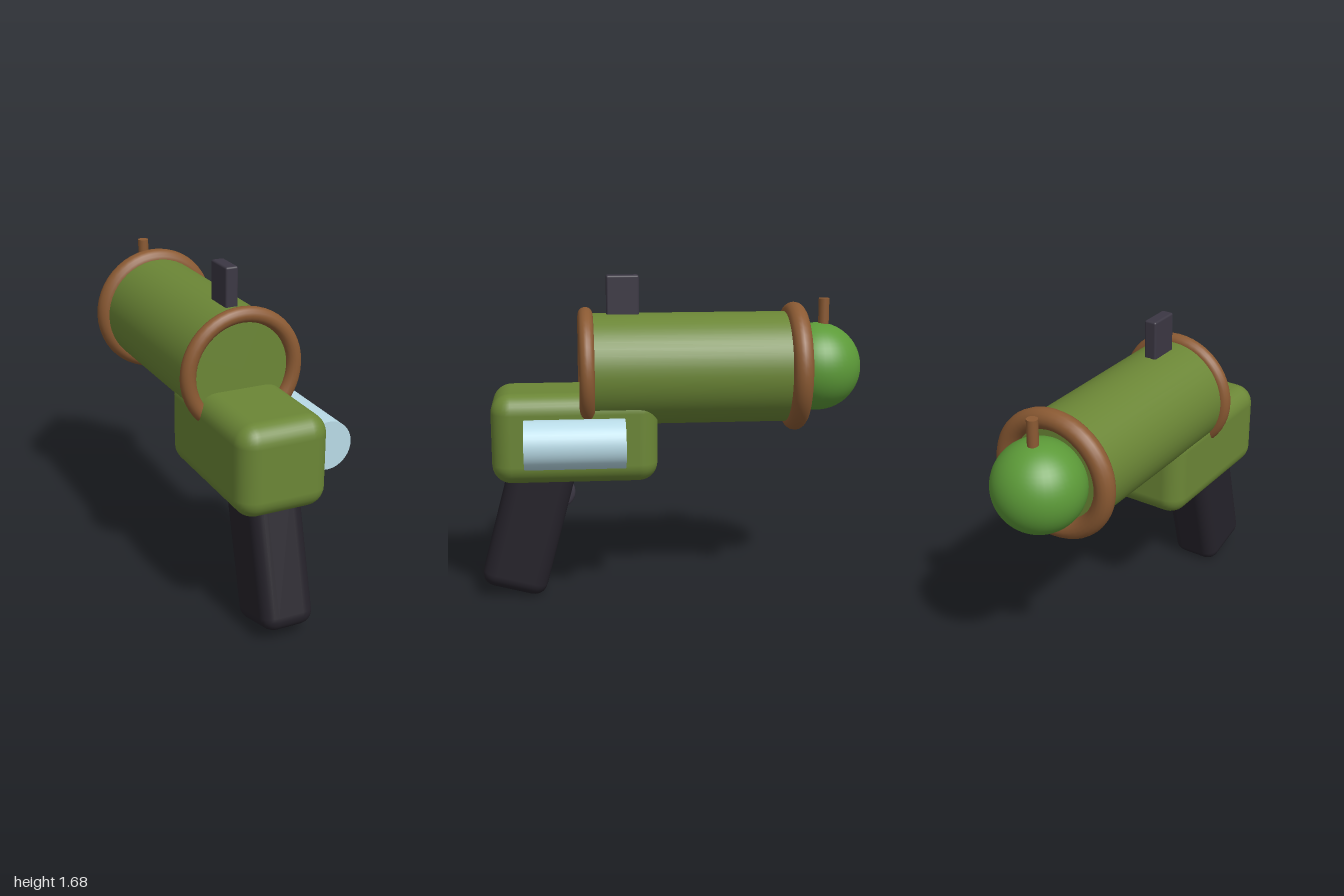
import * as THREE from 'three';
import { RoundedBoxGeometry } from 'three/addons/geometries/RoundedBoxGeometry.js';

const X = -0.05;          // centre plane of the gun
const BARREL_Y = 1.195;   // barrel axis height

export function createModel() {
  const group = new THREE.Group();
  const mat = (color) => new THREE.MeshStandardMaterial({ color });
  const olive = mat(0x6b8636);
  const leaf = mat(0x5c9a38);
  const brown = mat(0x8b5a33);
  const dark = mat(0x25222a);
  const slate = mat(0x3b3743);
  const glass = mat(0xb9dbe7);

  const add = (name, geometry, material, x, y, z, rx = 0, ry = 0) => {
    const mesh = new THREE.Mesh(geometry, material);
    mesh.name = name;
    mesh.position.set(x, y, z);
    mesh.rotation.set(rx, ry, 0);
    group.add(mesh);
    return mesh;
  };

  // Barrel with a rounded ring at each end
  add('barrel', new THREE.CylinderGeometry(0.288, 0.288, 1.09, 48), olive, X, BARREL_Y, -0.105, Math.PI / 2);
  add('frontRing', new THREE.TorusGeometry(0.282, 0.039, 16, 48), brown, X, BARREL_Y, 0.44);
  add('backRing', new THREE.TorusGeometry(0.284, 0.052, 16, 48), brown, X, BARREL_Y, -0.648);

  // Ball at the end of the barrel, with its pin
  add('ball', new THREE.SphereGeometry(0.23, 40, 28), leaf, X, 1.193, -0.77);
  add('ballPin', new THREE.CylinderGeometry(0.028, 0.028, 0.2, 16), brown, X, 1.45, -0.802);

  // Sight on top
  add('sight', new RoundedBoxGeometry(0.066, 0.24, 0.168, 2, 0.01), slate, X, 1.56, 0.248);

  // Body block under the barrel
  add('body', new RoundedBoxGeometry(0.467, 0.467, 0.85, 4, 0.1), olive, X, 0.867, 0.505);

  // Side canister
  add('canister', new THREE.CylinderGeometry(0.125, 0.125, 0.505, 40), glass, 0.257, 0.87, 0.507, Math.PI / 2);

  // Slanted grip with the trigger loop set into it
  add('grip', new RoundedBoxGeometry(0.27, 0.75, 0.345, 3, 0.07), dark, X, 0.391, 0.751, -0.262);
  add('trigger', new THREE.TorusGeometry(0.072, 0.022, 12, 28), slate, X, 0.54, 0.6, 0, Math.PI / 2);

  return group;
}
